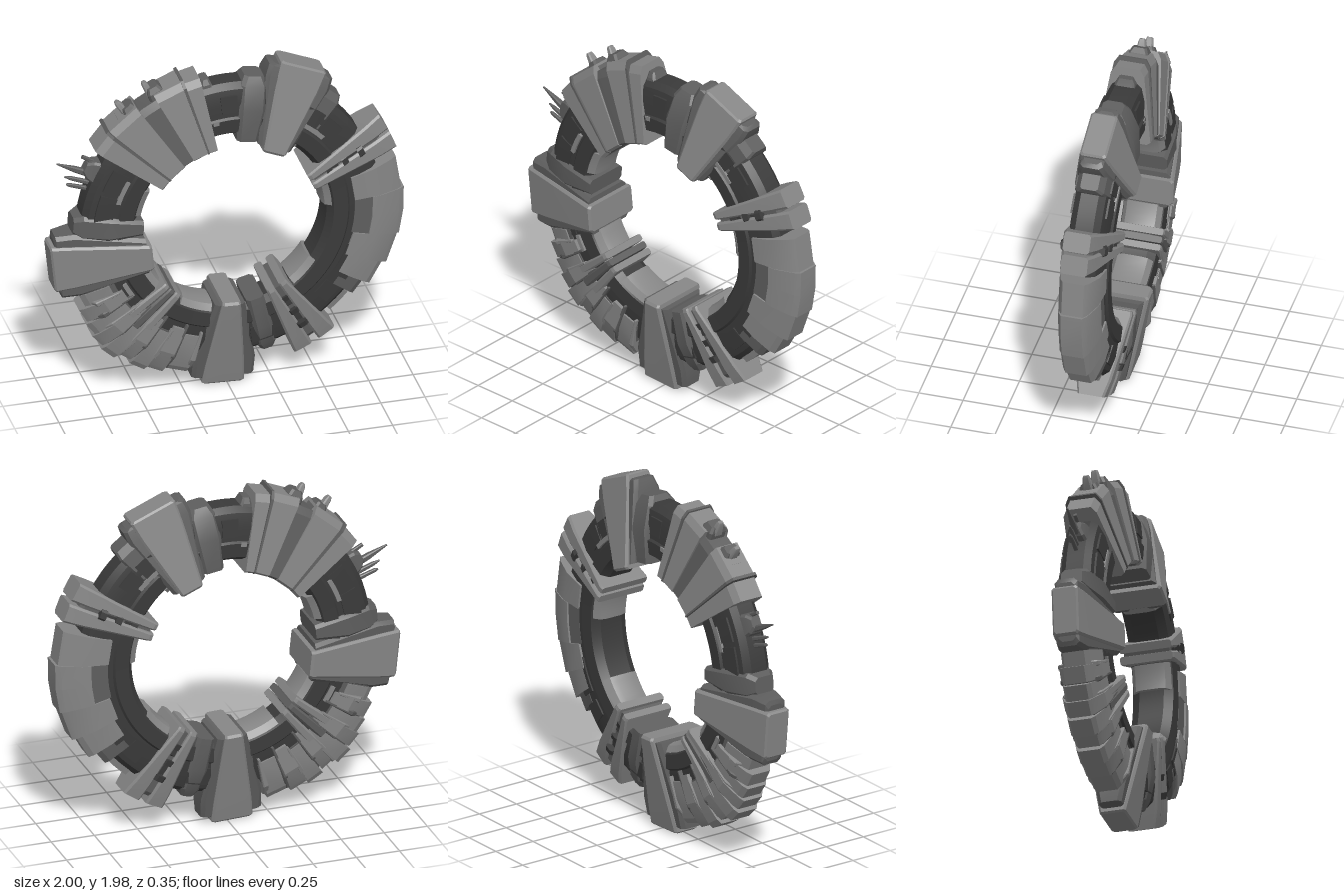
import * as THREE from 'three';
import { toCreasedNormals } from 'three/addons/utils/BufferGeometryUtils.js';

const lightGrey = new THREE.MeshStandardMaterial({ name: 'light grey', color: 0x868686 });
const midGrey = new THREE.MeshStandardMaterial({ name: 'mid grey', color: 0x5e5e5e });
const darkGrey = new THREE.MeshStandardMaterial({ name: 'dark grey', color: 0x3a3a3a });
const RAD = Math.PI / 180;

// Closed skin over matching cross-sections, capped at both ends
function loft(sections) {
  const n = sections[0].length, pos = [], idx = [];
  sections.forEach((s) => s.forEach((p) => pos.push(...p)));
  for (let k = 0; k < sections.length - 1; k++) {
    for (let i = 0; i < n; i++) {
      const a = k * n + i, b = k * n + (i + 1) % n;
      idx.push(a, b, b + n, a, b + n, a + n);
    }
  }
  const last = (sections.length - 1) * n;
  for (let i = 1; i < n - 1; i++) {
    idx.push(0, i + 1, i, last, last + i, last + i + 1);
  }
  const g = new THREE.BufferGeometry();
  g.setAttribute('position', new THREE.Float32BufferAttribute(pos, 3));
  g.setIndex(idx);
  return toCreasedNormals(g, 0.3);
}

export function createModel() {
  const model = new THREE.Group();
  model.name = 'ringStation';
  const hub = new THREE.Group();
  hub.name = 'ring';
  hub.position.set(0.02, 1.03, 0);
  model.add(hub);

  const add = (name, geometry, material) => {
    const m = new THREE.Mesh(geometry, material);
    m.name = name;
    hub.add(m);
    return m;
  };

  // Arc piece: half profile [r, z] from inside to outside, mirrored in z
  const arc = (name, mat, a0, a1, half, steps = Math.max(1, Math.round((a1 - a0) / 4))) => {
    const profile = [...half, ...half.map(([r, z]) => [r, -z]).reverse()];
    const sections = [];
    for (let k = 0; k <= steps; k++) {
      const a = (a0 + (a1 - a0) * k / steps) * RAD;
      sections.push(profile.map(([r, z]) => [r * Math.cos(a), r * Math.sin(a), z]));
    }
    return add(name, loft(sections), mat);
  };

  // Radial piece: sections [r, halfWidth, halfDepth] with bevelled corners
  const wedge = (name, mat, angle, sections, t = 0, bevel = 0.012, z = 0) => {
    const m = add(name, loft(sections.map(([r, w, d]) => {
      const c = Math.min(bevel, w * 0.4, d * 0.4);
      return [[w, c - d], [w, d - c], [w - c, d], [c - w, d],
        [-w, d - c], [-w, c - d], [c - w, -d], [w - c, -d]].map(([y, zz]) => [r, y + t, zz + z]);
    })), mat);
    m.rotation.z = angle * RAD;
    return m;
  };

  // Dark ring body and its raised inner rail
  arc('ringBody', darkGrey, 0, 360, [[0.55, 0.075], [0.59, 0.105], [0.74, 0.105], [0.82, 0.085], [0.85, 0.05]], 96);
  arc('innerRail', darkGrey, 0, 360, [[0.54, 0.07], [0.57, 0.115], [0.65, 0.118], [0.665, 0.1]], 96);

  // Panels on the ring faces
  for (const [a0, a1] of [[88, 95], [148, 158], [160, 172], [38, 46], [48, 58], [-48, -40], [-36, -20], [198, 206], [278, 288]]) {
    arc('ringPanel', darkGrey, a0, a1, [[0.69, 0.114], [0.79, 0.104]]);
  }
  for (const [a0, a1, r] of [[150, 162, 0.67], [42, 54, 0.67], [97, 100, 0.63], [206, 214, 0.67]]) {
    arc('lightStrip', lightGrey, a0, a1, [[r, 0.119], [r + 0.025, 0.119]]);
  }

  // Light plates lining the inside of the ring
  for (const [a0, a1] of [[152, 168], [205, 222], [238, 262], [-52, -34], [2, 18], [50, 58]]) {
    arc('innerLining', lightGrey, a0, a1, [[0.515, 0.05], [0.525, 0.085], [0.56, 0.11]]);
  }

  // Three big clamps: tapered plate over a darker, wider collar
  const clamps = [[-92.5, 0, 0.05, 0.12, 1.03], [186, 0.075, 0.075, 0.14, 1.02], [67, -0.035, 0.065, 0.138, 0.985]];
  for (const [angle, t, w0, w1, r1] of clamps) {
    wedge('clampPlate', lightGrey, angle,
      [[0.475, w0, 0.165], [0.49, w0 + 0.003, 0.175], [r1 - 0.12, w1 - 0.01, 0.098], [r1 - 0.01, w1, 0.075], [r1, w1 - 0.01, 0.065]], t);
    wedge('clampCollar', midGrey, angle,
      [[0.5, w0 + 0.035, 0.15], [0.88, w1 + 0.055, 0.085], [r1 - 0.04, w1 + 0.055, 0.065], [r1 - 0.03, w1 + 0.03, 0.05]], t, 0.02);
  }
  // Side collars stepping down from the clamps to the ring
  for (const [angle, w0, w1, r1] of [[81, 0.06, 0.075, 0.88], [175.5, 0.045, 0.07, 0.89], [-76, 0.05, 0.055, 0.88]]) {
    wedge('sideCollar', midGrey, angle, [[0.51, w0, 0.13], [0.7, w1, 0.13], [r1 - 0.05, w1, 0.09], [r1, w1 - 0.02, 0.06]], 0, 0.02);
  }
  wedge('outerStep', midGrey, 50, [[0.7, 0.05, 0.11], [0.87, 0.06, 0.08], [0.91, 0.05, 0.05]]);

  // Narrow twin-arm clamps
  for (const [a, b, r] of [[29, 21.5, 0.985], [-56, -65, 0.965]]) {
    for (const angle of [a, b]) {
      wedge('twinArm', lightGrey, angle,
        [[0.48, 0.022, 0.15], [0.5, 0.024, 0.155], [r - 0.1, 0.05, 0.1], [r, 0.055, 0.075]]);
    }
    wedge('twinArmCore', midGrey, (a + b) / 2, [[0.5, 0.04, 0.13], [0.9, 0.07, 0.08], [0.925, 0.06, 0.06]]);
    for (const rr of [0.58, 0.68, 0.78]) {
      wedge('twinArmTie', darkGrey, (a + b) / 2, [[rr, 0.03, 0.135], [rr + 0.035, 0.03, 0.125]]);
    }
  }

  // Large upper armour: flat plates with seams
  const armour = (r1, z0, z1) => [[0.485, z0 - 0.02], [0.5, z0], [r1 - 0.04, z1 + 0.01], [r1, z1 - 0.015]];
  for (const [a0, a1, r1] of [[101, 106.5, 0.93], [107.5, 117.5, 0.945], [124.5, 136.5, 0.945], [138, 145, 0.935]]) {
    arc('upperArmourPlate', lightGrey, a0, a1, armour(r1, 0.15, 0.085), 1);
  }
  arc('upperArmourBase', midGrey, 101.5, 144.5, armour(0.91, 0.143, 0.077), 6);
  for (const a of [107, 137.2]) arc('upperArmourRib', midGrey, a - 0.5, a + 0.5, armour(0.955, 0.158, 0.092), 1);

  // Turrets on the upper armour
  for (const [a, w, r] of [[116.5, 0.045, 0.975], [127, 0.04, 0.965], [133, 0.025, 0.94], [99, 0.03, 0.89]]) {
    wedge('turretBase', midGrey, a, [[0.82, w + 0.015, 0.06], [r - 0.03, w, 0.055], [r, w * 0.7, 0.04]]);
  }
  for (const [a, t] of [[117, 0.02], [127.5, 0.018]]) {
    wedge('turretBarrel', lightGrey, a, [[0.93, 0.022, 0.03], [1.0, 0.016, 0.02], [1.015, 0.01, 0.015]], t);
  }

  // Antenna cluster
  wedge('antennaBase', midGrey, 153, [[0.82, 0.07, 0.06], [0.88, 0.055, 0.045], [0.91, 0.03, 0.03]]);
  for (const [a, r, w] of [[155, 1.065, 0.02], [158.5, 0.99, 0.013], [161, 0.965, 0.012], [150, 0.95, 0.012]]) {
    wedge('antenna', midGrey, a, [[0.84, w, w], [0.95, w * 0.8, w * 0.8], [r, 0.004, 0.004]]);
  }

  // Right-hand armour blocks with a recessed bay
  const shell = (r0, r1, z = 0.118) => [[r0, z], [r1 - 0.14, z - 0.005], [r1 - 0.03, 0.08], [r1, 0.06]];
  arc('rightArmour', lightGrey, 3, 15, shell(0.69, 0.965), 1);
  arc('rightArmour', lightGrey, -14, 3, shell(0.79, 0.98), 2);
  arc('rightArmour', lightGrey, -25, -14, shell(0.7, 0.97), 1);
  arc('rightArmour', lightGrey, -34, -25, shell(0.72, 0.945, 0.112), 1);
  arc('rightBay', midGrey, -14, 3, [[0.69, 0.107], [0.8, 0.107]], 3);
  arc('rightBayFrame', midGrey, -40, -34, shell(0.74, 0.9, 0.108), 1);
  arc('lowerRightRail', lightGrey, -50, -41, [[0.83, 0.06], [0.88, 0.045]], 3);

  // Jagged lower-left armour
  const jag = [[203, 208, 0.93, 0.76], [208, 213.5, 0.97, 0.71], [214, 219, 0.985, 0.74], [219, 224, 1.005, 0.68],
    [224.5, 230, 1.025, 0.72], [230, 235, 0.99, 0.68], [235.5, 241, 1.01, 0.74], [241, 247, 0.99, 0.69], [247.5, 255, 0.965, 0.72]];
  jag.forEach(([a0, a1, r1, r0], i) => {
    arc('lowerArmour', lightGrey, a0, a1, shell(r0, r1, 0.116 + (i % 2) * 0.01), 1);
    wedge('lowerArmourFin', i % 2 ? midGrey : lightGrey, a1, [[r0 - 0.03, 0.006, 0.13], [0.87, 0.016, 0.115], [r1 - 0.03, 0.02, 0.07]]);
  });
  arc('lowerArmourBase', midGrey, 202, 256, shell(0.73, 0.92, 0.111));

  // Short twin arms over the lower-left ring
  for (const a of [221, 226, 231]) {
    wedge('shortArm', a === 226 ? midGrey : lightGrey, a, [[0.5, 0.018, 0.145], [0.52, 0.02, 0.15], [0.8, 0.03, 0.12]]);
  }
  return model;
}
